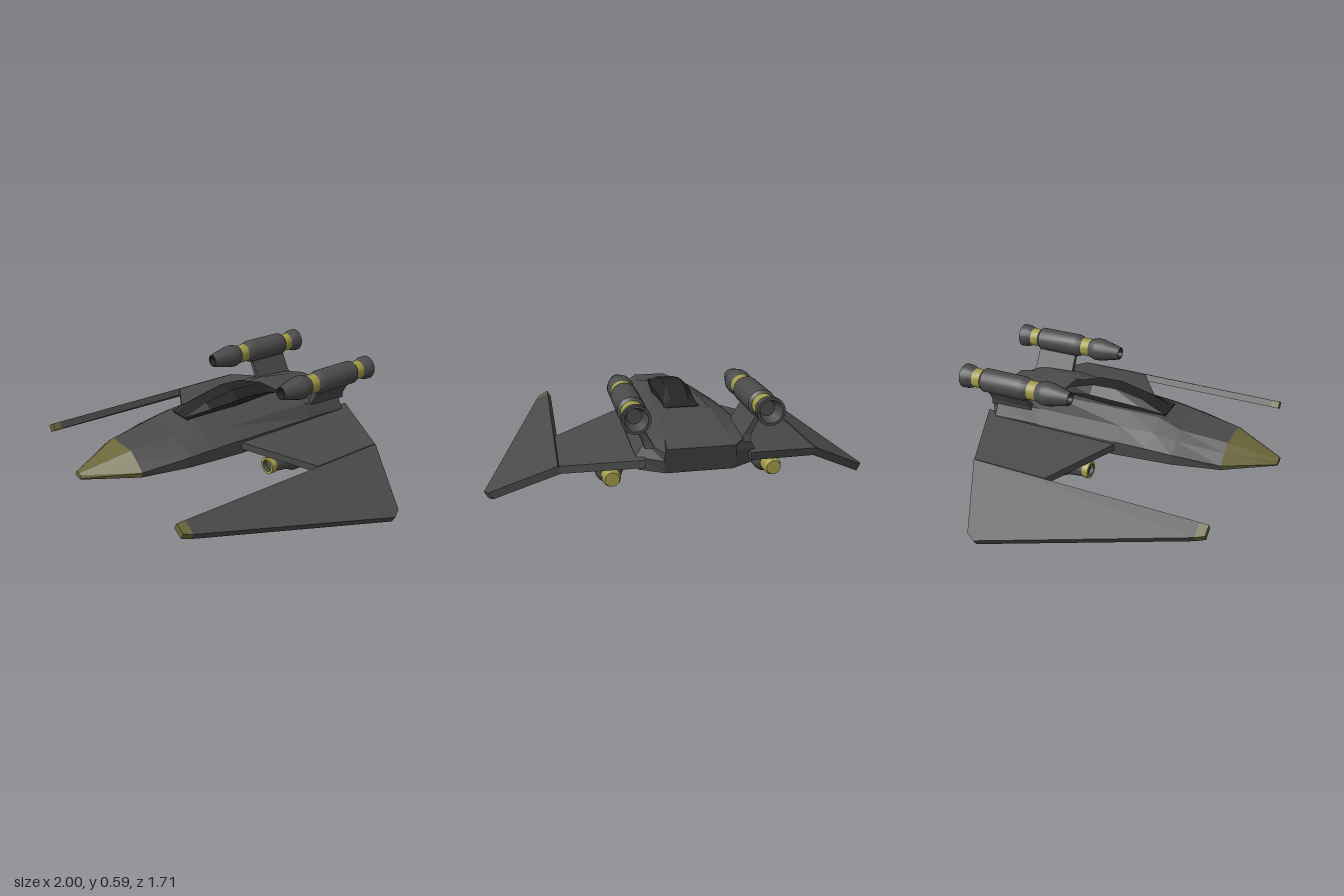
import * as THREE from 'three';
import { toCreasedNormals } from 'three/addons/utils/BufferGeometryUtils.js';

const mat = (name, color) => Object.assign(new THREE.MeshStandardMaterial({ color }), { name });

// Skin between equal-length rings, capped at both ends.
// Rings run counter-clockwise when seen from the first ring's outer side.
function loft(rings) {
  const n = rings[0].length, idx = [], last = (rings.length - 1) * n;
  for (let i = 0; i < rings.length - 1; i++) {
    for (let j = 0; j < n; j++) {
      const a = i * n + j, b = i * n + (j + 1) % n;
      idx.push(a, a + n, b, b, a + n, b + n);
    }
  }
  for (let j = 1; j < n - 1; j++) {
    idx.push(0, j, j + 1, last, last + j + 1, last + j);
  }
  const geo = new THREE.BufferGeometry();
  geo.setAttribute('position', new THREE.Float32BufferAttribute(rings.flat(2), 3));
  geo.setIndex(idx);
  const flat = geo.toNonIndexed();
  flat.computeVertexNormals();
  return flat;
}

const mirror = (rings) => rings.map((r) => r.map(([x, y, z]) => [-x, y, z]).reverse());

// Symmetric ring from its right-hand points, bottom to top
const symRing = (pts, z, lean = 0) => {
  const half = pts.map(([x, y]) => [x, y, z + (0.35 - y) * lean]);
  return [...half, ...half.map(([x, y, zz]) => [-x, y, zz]).reverse()];
};

// Sloping slab: outline in x,z; top height by rule; lower face shifted
const slab = (outline, yTop, dx, dy) => [
  outline.map(([x, z]) => [x, yTop(x), z]),
  outline.map(([x, z]) => [x + dx, yTop(x) + dy, z]),
];

// Turned part along z, profile given as [z, radius] from rear to front
function turned(profile) {
  const geo = new THREE.LatheGeometry(profile.map(([z, r]) => new THREE.Vector2(r, z)), 18);
  geo.rotateX(Math.PI / 2);
  return toCreasedNormals(geo, 0.45);
}

export function createModel() {
  const model = new THREE.Group();
  model.name = 'starfighter';
  const hull = mat('hull grey', 0x4a4a4a);
  const glass = mat('canopy black', 0x242424);
  const olive = mat('olive trim', 0x6a673a);
  const gold = mat('gold bands', 0xa09a48);

  const add = (name, geo, material, parent = model) => {
    const mesh = new THREE.Mesh(geo, material);
    mesh.name = name;
    parent.add(mesh);
    return mesh;
  };

  // Fuselage: bottom edge, side edge, shoulder, top edge
  const noseRoot = symRing([[0.185, 0.225], [0.195, 0.255], [0.14, 0.3], [0.09, 0.335]], 0.6);
  const noseTip = symRing([[0.022, 0.225], [0.03, 0.235], [0.022, 0.25], [0.012, 0.256]], 0.855);
  add('noseCone', loft([noseTip, noseRoot]), olive);
  add('fuselage', loft([
    noseRoot,
    symRing([[0.245, 0.225], [0.25, 0.285], [0.18, 0.33], [0.12, 0.365]], 0.35),
    symRing([[0.26, 0.225], [0.264, 0.295], [0.185, 0.35], [0.1, 0.4]], 0.22),
    symRing([[0.28, 0.225], [0.284, 0.305], [0.2, 0.355], [0.115, 0.408]], 0.04),
    symRing([[0.28, 0.225], [0.288, 0.3], [0.245, 0.375], [0.135, 0.415]], -0.44),
    symRing([[0.275, 0.225], [0.288, 0.29], [0.245, 0.36], [0.15, 0.372]], -0.7),
    symRing([[0.16, 0.225], [0.17, 0.29], [0.165, 0.33], [0.16, 0.352]], -0.8, 0.25),
  ]), hull);

  // Faceted canopy: z, base half width, top half width, top height
  add('canopy', loft([
    [0.24, 0.07, 0.04, 0.4], [0.1, 0.085, 0.045, 0.45], [-0.07, 0.1, 0.05, 0.485],
    [-0.2, 0.09, 0.05, 0.48], [-0.32, 0.085, 0.045, 0.44], [-0.38, 0.1, 0.08, 0.417],
  ].map(([z, b, t, y]) => symRing([[b, 0.38], [b, y * 0.4 + 0.245], [t, y]], z))), glass);

  // Wings: inner panel, drooped outer panel and its coloured tip
  const innerY = (x) => 0.295 - (x - 0.25) * 0.165;
  const outerY = (x) => 0.232 - (x - 0.64) * 0.545;
  const wingParts = [
    ['innerWing', hull, slab([[0.25, 0.06], [0.635, -0.18], [0.635, -0.605], [0.25, -0.765]], innerY, 0, -0.038)],
    ['outerWing', hull, slab([[0.64, 0.65], [0.71, 0.65], [1, -0.38], [0.975, -0.43],
      [0.82, -0.51], [0.64, -0.605]], outerY, -0.02, -0.036)],
    ['wingTip', olive, slab([[0.64, 0.695], [0.692, 0.695], [0.71, 0.65], [0.64, 0.65]], outerY, -0.02, -0.036)],
  ];

  // Pylon ring at a given height
  const pylonRing = (x, t, y, front, back) =>
    [[x - t, y, front], [x + t, y, front], [x + t, y, back], [x - t, y, back]];
  const pylon = [
    pylonRing(0.295, 0.013, 0.475, -0.485, -0.73),
    pylonRing(0.24, 0.017, 0.375, -0.485, -0.73),
    pylonRing(0.225, 0.025, 0.34, -0.47, -0.74),
  ];

  // Engine profiles, rear to front
  const upperEngine = [
    ['nozzle', hull, [[-0.8, 0], [-0.8, 0.035], [-0.855, 0.054], [-0.855, 0.067], [-0.825, 0.066], [-0.785, 0.053]]],
    ['rearBand', gold, [[-0.785, 0.053], [-0.735, 0.053]]],
    ['engineBody', hull, [[-0.735, 0.053], [-0.72, 0.066], [-0.475, 0.066], [-0.44, 0.053]]],
    ['frontBand', gold, [[-0.44, 0.053], [-0.39, 0.053]]],
    ['intake', hull, [[-0.39, 0.053], [-0.35, 0.066], [-0.315, 0.064], [-0.2, 0.036], [-0.2, 0.03]]],
    ['intakeHole', glass, [[-0.2, 0.03], [-0.23, 0.024], [-0.23, 0]]],
  ];
  const lowerEngine = [
    ['tailPlug', gold, [[-0.675, 0], [-0.675, 0.035], [-0.65, 0.045], [-0.6, 0.045], [-0.585, 0.036]]],
    ['engineBody', hull, [[-0.595, 0.036], [-0.58, 0.05], [-0.54, 0.069], [-0.48, 0.069], [-0.44, 0.058],
      [-0.4, 0.071], [-0.2, 0.071], [-0.16, 0.052], [-0.075, 0.042]]],
    ['muzzleBand', gold, [[-0.075, 0.046], [-0.042, 0.046], [-0.042, 0.032]]],
    ['muzzle', hull, [[-0.042, 0.032], [-0.06, 0.028], [-0.06, 0]]],
  ];

  for (const side of [1, -1]) {
    const label = side > 0 ? 'left' : 'right';
    const wing = new THREE.Group();
    wing.name = label + 'Wing';
    model.add(wing);
    for (const [name, material, rings] of wingParts) {
      add(name, loft(side > 0 ? rings : mirror(rings)), material, wing);
    }
    add(label + 'Pylon', loft(side > 0 ? pylon : mirror(pylon)), hull);

    for (const [name, parts, x, y] of [
      ['UpperEngine', upperEngine, 0.305, 0.518], ['LowerEngine', lowerEngine, 0.395, 0.173]]) {
      const engine = new THREE.Group();
      engine.name = label + name;
      engine.position.set(side * x, y, 0);
      for (const [part, material, profile] of parts) add(part, turned(profile), material, engine);
      model.add(engine);
    }
    // Saddle joining the lower engine to the wing
    add(label + 'EngineMount', new THREE.BoxGeometry(0.12, 0.06, 0.24), hull)
      .position.set(side * 0.395, 0.22, -0.3);
  }
  return model;
}
